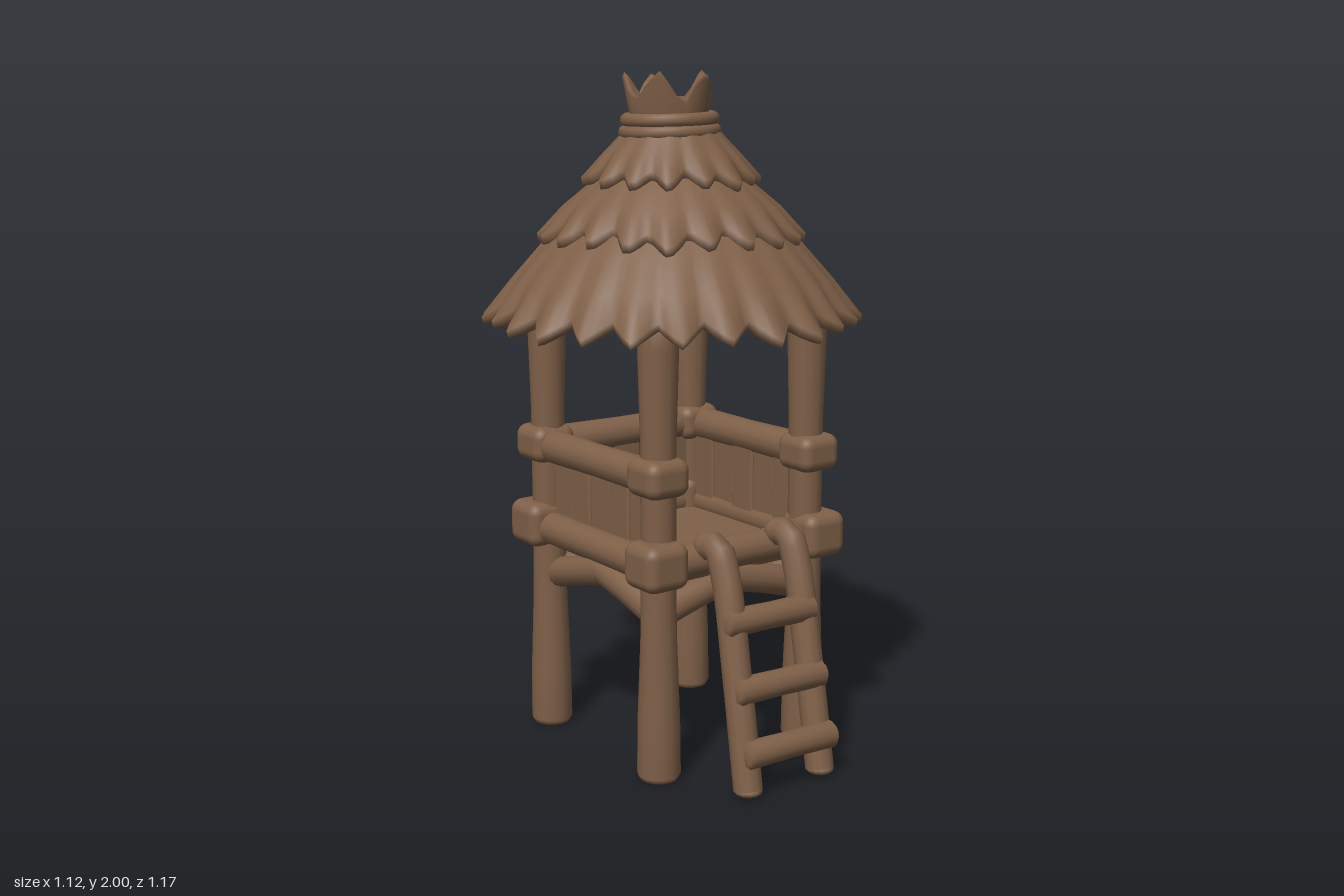
import * as THREE from 'three';
import { mergeVertices } from 'three/addons/utils/BufferGeometryUtils.js';
import { RoundedBoxGeometry } from 'three/addons/geometries/RoundedBoxGeometry.js';

const wood = new THREE.MeshStandardMaterial({ color: 0x7f6048 });
wood.name = 'brown wood';

function add(parent, name, geometry, x = 0, y = 0, z = 0) {
  const mesh = new THREE.Mesh(geometry, wood);
  mesh.name = name;
  mesh.position.set(x, y, z);
  parent.add(mesh);
  return mesh;
}

// Turned shape whose rim is cut into teeth; profile entries are [radius, y, tooth weight]
function toothedLathe(profile, teeth, spread, drop, phase) {
  const points = profile.map(([r, y]) => new THREE.Vector2(r, y));
  const geo = new THREE.LatheGeometry(points, teeth * 6);
  const pos = geo.attributes.position;
  for (let i = 0; i < pos.count; i++) {
    const [r, y, w] = profile[i % profile.length];
    const a = Math.atan2(pos.getX(i), pos.getZ(i));
    const u = (a / (2 * Math.PI) + 1) * teeth + phase;
    const tooth = 1 - 4 * Math.abs(u - Math.floor(u) - 0.5);
    const wobble = 0.2 * Math.sin(5 * a + phase * 9) + 0.15 * Math.sin(8 * a + 1);
    const t = w * (tooth + wobble);
    const radius = r + t * spread;
    pos.setXYZ(i, Math.sin(a) * radius, y - t * drop, Math.cos(a) * radius);
  }
  geo.deleteAttribute('uv');
  geo.deleteAttribute('normal');
  const welded = mergeVertices(geo, 1e-4);
  welded.computeVertexNormals();
  return welded;
}

// Round log between two points, with slightly softened ends
function log(parent, name, from, to, radius) {
  const a = new THREE.Vector3(...from), b = new THREE.Vector3(...to);
  const h = a.distanceTo(b) / 2, c = radius * 0.3;
  const profile = [[0, -h], [radius - c, -h], [radius, -h + c], [radius * 0.94, 0],
    [radius, h - c], [radius - c, h], [0, h]].map(p => new THREE.Vector2(...p));
  const mesh = add(parent, name, new THREE.LatheGeometry(profile, 14));
  mesh.position.copy(a).add(b).multiplyScalar(0.5);
  mesh.quaternion.setFromUnitVectors(new THREE.Vector3(0, 1, 0), b.sub(a).normalize());
  return mesh;
}

function buildPosts(model) {
  const profile = [[0, 0], [0.055, 0], [0.063, 0.015], [0.061, 0.18], [0.052, 0.42],
    [0.05, 0.6], [0.051, 1.0], [0.058, 1.25], [0.058, 1.37], [0, 1.37]]
    .map(p => new THREE.Vector2(...p));
  for (const x of [-0.272, 0.268]) for (const z of [-0.285, 0.28]) {
    add(model, 'post', new THREE.LatheGeometry(profile, 14), x, 0, z);
    // Bindings where the beams cross the posts
    const sx = Math.sign(x), sz = Math.sign(z);
    add(model, 'lowerBinding', new RoundedBoxGeometry(0.146, 0.135, 0.146, 3, 0.035),
      x + sx * 0.02, 0.642, z + sz * 0.018);
    add(model, 'upperBinding', new RoundedBoxGeometry(0.142, 0.11, 0.142, 3, 0.035),
      x + sx * 0.006, 0.89, z + sz * 0.006);
  }
}

// One side in its own frame: its outer face looks along +z
function buildSide(model, name, angle, open) {
  const side = new THREE.Group();
  side.name = name;
  side.rotation.y = angle;
  model.add(side);
  log(side, 'lowerBeam', [-0.28, 0.632, 0.292], [0.28, 0.632, 0.292], 0.05);
  // Braces rise from the posts to the middle of the side
  for (const s of [-1, 1])
    log(side, 'brace', [s * 0.26, 0.483, 0.258], [-s * 0.02, 0.556, 0.258], 0.047);
  if (open) return;
  log(side, 'railing', [-0.27, 0.885, 0.285], [0.27, 0.885, 0.285], 0.051);
  for (let i = 0; i < 5; i++)
    add(side, 'wallPlank', new RoundedBoxGeometry(0.1, 0.24, 0.026, 2, 0.008),
      (i - 2) * 0.098, 0.745, 0.265 + (i % 2) * 0.005);
}

function buildLadder(model) {
  const ladder = new THREE.Group();
  ladder.name = 'ladder';
  model.add(ladder);
  for (const [top, foot] of [[-0.132, -0.152], [0.128, 0.114]]) {
    const path = new THREE.CatmullRomCurve3([[top, 0.675, 0.325], [top, 0.678, 0.37],
      [top, 0.6, 0.408], [(top + foot) / 2, 0.34, 0.472], [foot, 0.02, 0.538]]
      .map(p => new THREE.Vector3(...p)));
    add(ladder, 'ladderRail', new THREE.TubeGeometry(path, 24, 0.042, 12));
    for (const t of [0, 1]) {
      const cap = add(ladder, 'railEnd', new THREE.SphereGeometry(0.042, 12, 8));
      cap.position.copy(path.getPoint(t));
      cap.scale.y = t ? 0.45 : 1;
    }
  }
  for (const [y, z] of [[0.48, 0.452], [0.295, 0.502], [0.125, 0.551]])
    log(ladder, 'rung', [-0.175, y + 0.004, z], [0.15, y - 0.004, z], 0.041);
}

function buildRoof(model) {
  const roof = new THREE.Group();
  roof.name = 'roof';
  roof.position.set(0, 0, -0.022);
  model.add(roof);
  // Three overlapping thatch tiers, each running from inside down to the rim and back up
  add(roof, 'lowerThatch', toothedLathe([[0, 1.46, 0], [0.14, 1.445, 0], [0.3, 1.385, 0],
    [0.4, 1.335, 0.1], [0.5, 1.285, 0.9], [0.524, 1.287, 1], [0.53, 1.308, 1],
    [0.466, 1.4, 0.35], [0.38, 1.5, 0.2], [0.27, 1.605, 0.1], [0.15, 1.69, 0]],
    25, 0.034, 0.024, 0.85));
  add(roof, 'middleThatch', toothedLathe([[0.2, 1.62, 0], [0.34, 1.517, 0.8],
    [0.362, 1.52, 1], [0.367, 1.545, 1], [0.308, 1.615, 0.4], [0.22, 1.688, 0.2],
    [0.13, 1.755, 0]], 20, 0.032, 0.022, 0.6));
  add(roof, 'upperThatch', toothedLathe([[0.13, 1.735, 0], [0.215, 1.68, 0.8],
    [0.238, 1.68, 1], [0.243, 1.705, 1], [0.195, 1.762, 0.5], [0.15, 1.81, 0.25],
    [0.115, 1.86, 0]], 15, 0.026, 0.02, 0.1));
  // Rope wound around the neck
  for (const [y, r] of [[1.822, 0.129], [1.856, 0.124]]) {
    const rope = add(roof, 'rope', new THREE.TorusGeometry(r, 0.021, 10, 40), -0.007, y, 0);
    rope.rotation.set(Math.PI / 2, 0.03, 0);
  }
  // Splayed tuft of straw ends
  add(roof, 'topTuft', toothedLathe([[0, 1.82, 0], [0.108, 1.82, 0], [0.115, 1.87, 0],
    [0.128, 1.942, -0.85], [0.121, 1.952, -0.9], [0.108, 1.942, -0.85], [0.07, 1.905, -0.1],
    [0, 1.9, 0]], 5, -0.012, 0.056, 0.2), -0.01, 0, 0);
}

export function createModel() {
  const model = new THREE.Group();
  model.name = 'thatchedWatchtower';
  buildPosts(model);
  add(model, 'deck', new RoundedBoxGeometry(0.56, 0.05, 0.56, 2, 0.015), 0, 0.59, 0);
  buildSide(model, 'frontSide', 0, true);
  buildSide(model, 'leftSide', Math.PI / 2, false);
  buildSide(model, 'backSide', Math.PI, false);
  buildSide(model, 'rightSide', -Math.PI / 2, false);
  buildLadder(model);
  buildRoof(model);
  return model;
}
